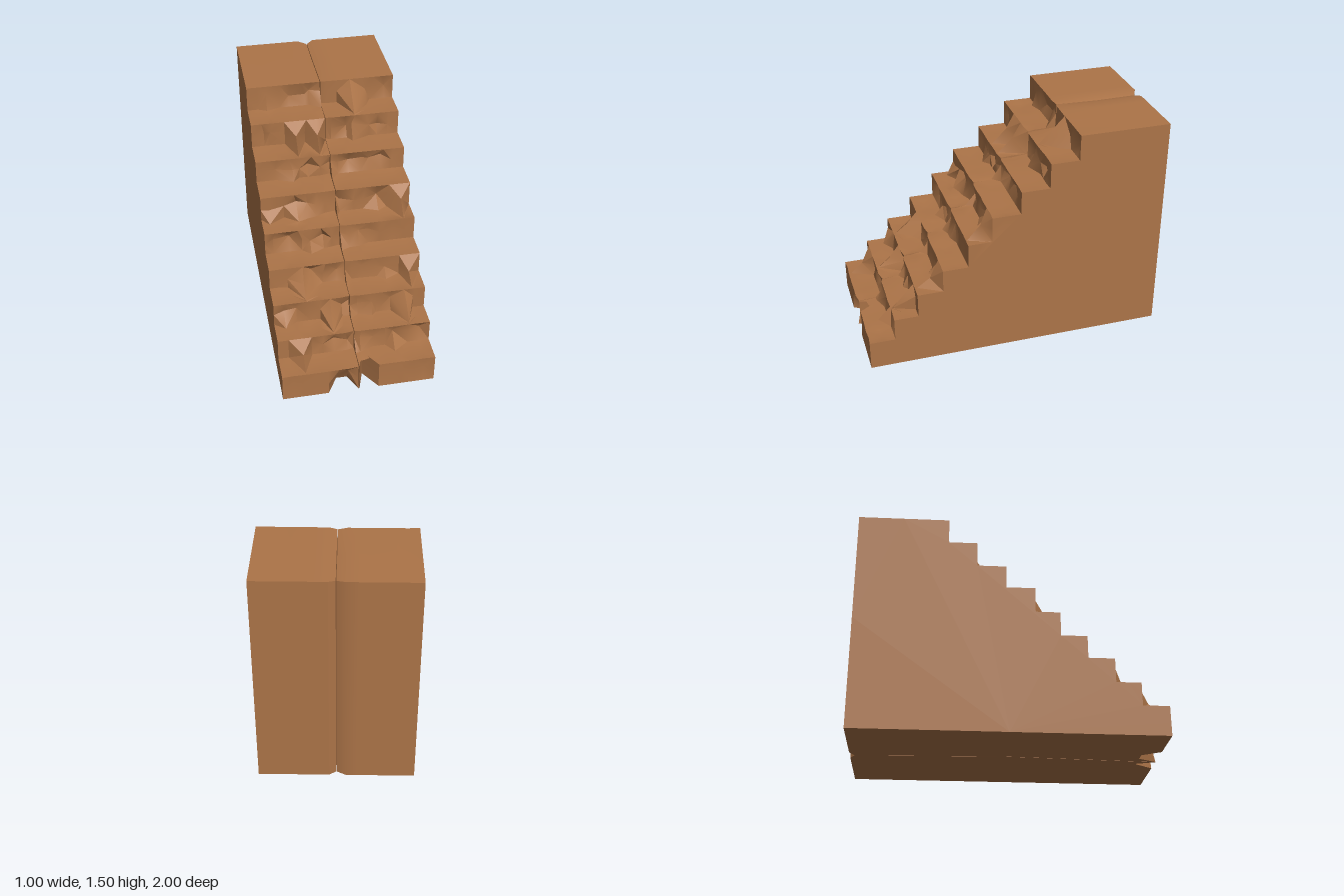
import * as THREE from 'three';
import { toCreasedNormals } from 'three/addons/utils/BufferGeometryUtils.js';

// Nose position [z, y] of each step, bottom to top
const NOSES = [[1, 0.197], [0.83, 0.35], [0.67, 0.512], [0.5, 0.664], [0.33, 0.828],
  [0.17, 1], [-0.02, 1.155], [-0.21, 1.325], [-0.4, 1.495]];

function seeded(seed) {
  return () => {
    seed = (seed * 16807) % 2147483647;
    return seed / 2147483647;
  };
}

// Closed outline [x, z, y] of one slice: up the steps, over the top, down the back
function slice(x, index, half, rand) {
  const outer = Math.abs(x) > 0.49;
  const seam = Math.abs(x) < 0.01;
  const amount = outer ? 0 : 1;
  const pts = [];
  const shards = half.shards.filter((s) => s[1] === index).map((s) => s[0]);
  NOSES.forEach(([z, y], i) => {
    const below = i ? NOSES[i - 1] : [1, 0];
    const depth = below[0] - z;
    const dx = seam ? 0 : amount * (rand() - 0.5) * 0.05;
    let foot = i && rand() > 0.55 ? amount * rand() * 0.07 : 0;
    let hollow = rand() > 0.45 ? amount * rand() * 0.05 : 0;
    if (shards.includes(i)) {
      foot = depth * 0.9;
      hollow = -depth * 0.42;
    }
    if (i === 0) hollow *= 0.3;
    const cut = i === 0 && half.cuts[index] ? half.cuts[index] : [0, 0];
    const wear = (seam ? 0.012 : 0) + amount * rand() * 0.006;
    const footZ = z + foot - (seam && i ? 0.012 : 0) - cut[0];
    // middle of the tread below, then foot, middle and nose of the riser
    if (i) pts.push([x, (below[0] + z + foot) / 2, below[1] - amount * rand() * 0.012]);
    pts.push([x + (i ? dx : 0), footZ, below[1]]);
    pts.push([x + (i ? dx : 0), z - hollow - wear - (cut[0] + cut[1]) / 2, below[1] + (y - below[1]) * (0.4 + 0.25 * rand())]);
    pts.push([x, z - wear - cut[1], y - wear * 0.5]);
  });
  const groove = seam ? 0.03 : 0;
  pts.push([x, -0.7, 1.495 - groove * 0.5]);
  pts.push([x, -1 + groove, 1.495 - groove * 0.4]);
  pts.push([x, -1 + groove, 0.75]);
  pts.push([x, -1 + groove, 0]);
  pts.push([x, 0, groove * 0.5]);
  return pts;
}

// Skin the slices together and close both ends
function buildHalf(half) {
  const rand = seeded(half.seed);
  const slices = half.xs.map((x, i) => slice(x, i, half, rand));
  const n = slices[0].length;
  const pos = [];
  const put = (...points) => points.forEach(([x, z, y]) => pos.push(x, y, z));
  for (let s = 0; s < slices.length - 1; s++) {
    const a = slices[s], b = slices[s + 1];
    for (let i = 0; i < n; i++) {
      const j = (i + 1) % n;
      if ((s + i) % 2) put(a[i], b[i], b[j], a[i], b[j], a[j]);
      else put(a[i], b[i], a[j], b[i], b[j], a[j]);
    }
  }
  [[slices[0], -1], [slices[slices.length - 1], 1]].forEach(([ring, side]) => {
    const outline = ring.map((p) => new THREE.Vector2(p[1], p[2]));
    THREE.ShapeUtils.triangulateShape(outline, []).forEach(([i, j, k]) => {
      const [a, b, c] = [ring[i], ring[j], ring[k]];
      const turn = (b[1] - a[1]) * (c[2] - a[2]) - (b[2] - a[2]) * (c[1] - a[1]);
      // positive turn in (z, y) faces -x
      if (turn * side < 0) put(a, b, c);
      else put(a, c, b);
    });
  });
  const geometry = new THREE.BufferGeometry();
  geometry.setAttribute('position', new THREE.Float32BufferAttribute(pos, 3));
  return toCreasedNormals(geometry, 0.6);
}

export function createModel() {
  const group = new THREE.Group();
  group.name = 'stoneStairs';
  const brown = new THREE.MeshStandardMaterial({ color: 0xac7448 });
  brown.name = 'earthBrown';

  // shards: [step, slice] of broken pieces; cuts: [bottom, top] chips in the lowest step
  const halves = [
    {
      name: 'leftHalf', seed: 4127,
      xs: [0.002, 0.045, 0.13, 0.2, 0.28, 0.36, 0.43, 0.5],
      shards: [[8, 3], [2, 5], [5, 6], [3, 6]],
      cuts: { 1: [0.13, 0.13] },
    },
    {
      name: 'rightHalf', seed: 9173,
      xs: [-0.5, -0.43, -0.36, -0.28, -0.2, -0.13, -0.06, -0.002],
      shards: [[7, 4], [7, 6], [3, 3], [2, 5], [1, 2]],
      cuts: { 5: [0.12, 0], 6: [0.12, 0] },
    },
  ];
  halves.forEach((half) => {
    const mesh = new THREE.Mesh(buildHalf(half), brown);
    mesh.name = half.name;
    group.add(mesh);
  });
  return group;
}
